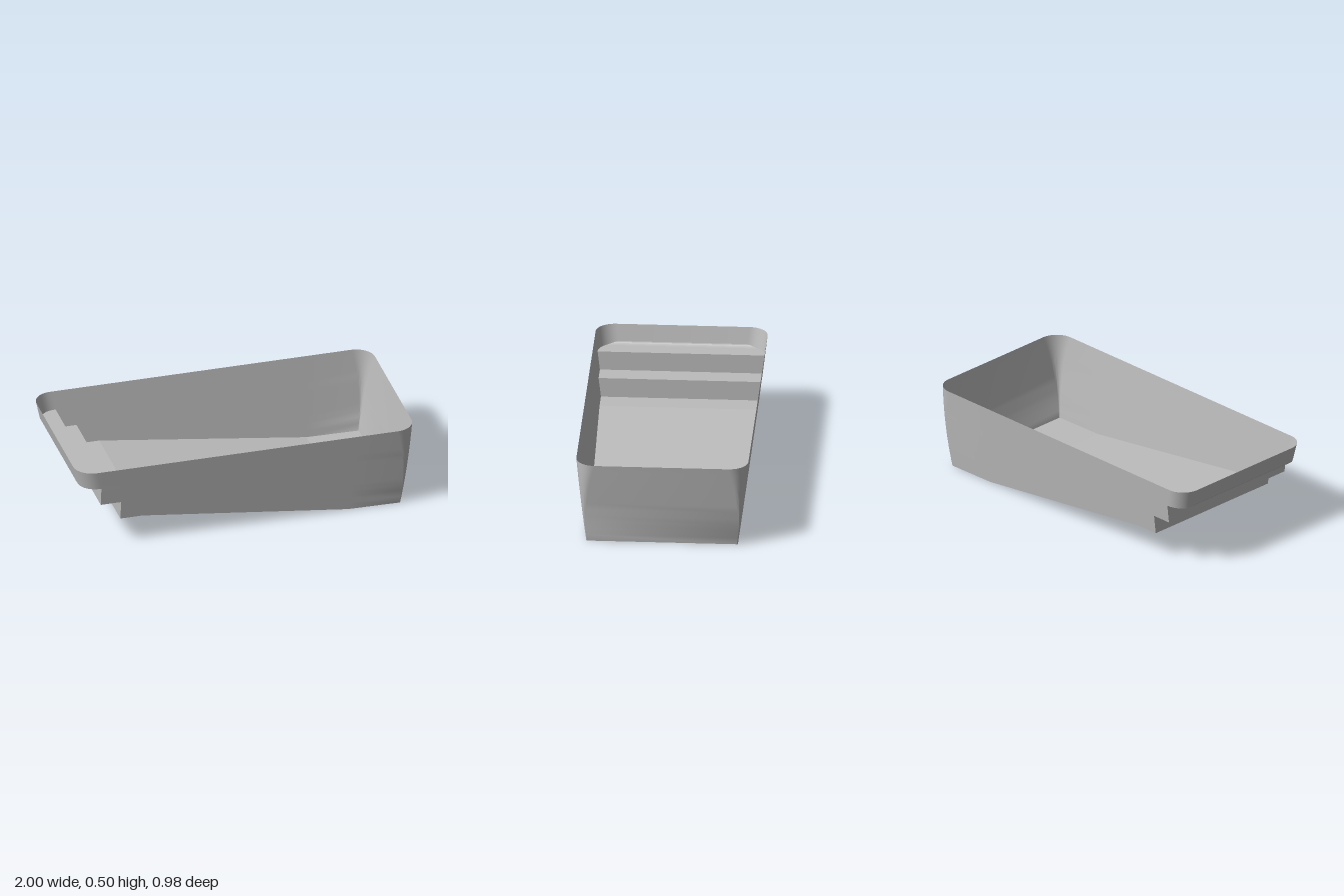
import * as THREE from 'three';
import { toCreasedNormals } from 'three/addons/utils/BufferGeometryUtils.js';

const TOP = 0.5;
const ROWS = 12;
const ARC = 10;

// Sloping sides and ends: distances from the centre at height y
const halfWidth = (y) => 0.432 + 0.116 * y;
const shallowEnd = (y) => -1 + (TOP - y) * 0.2;
const deepEnd = (y) => 0.92 + 0.16 * y;
const deepRadius = (y) => 0.006 + 0.104 * (y / TOP) ** 2;
const SHALLOW_RADIUS = 0.11;

// Softened outer edge of the top step
function topStepY(x) {
  const t = THREE.MathUtils.clamp((-0.955 - x) / 0.023, 0, 1);
  return 0.387 + 0.015 * (1 - Math.sqrt(1 - t * t));
}

// Wall columns on the +z side, from the shallow end to the deep end
function makeColumns() {
  const columns = [];
  const add = (bottom, at) => {
    const points = [];
    for (let j = 0; j <= ROWS; j++) {
      const y = TOP + (bottom - TOP) * (j / ROWS);
      const [x, z] = at(y);
      points.push([x, y, z]);
    }
    columns.push(points);
  };

  // Rounded shallow corner
  for (let i = 0; i <= ARC; i++) {
    const a = (i / ARC) * Math.PI / 2;
    const at = (y) => [
      shallowEnd(y) + SHALLOW_RADIUS * (1 - Math.cos(a)),
      halfWidth(y) - SHALLOW_RADIUS * (1 - Math.sin(a)),
    ];
    add(topStepY(at(0.39)[0]), at);
  }

  // Steps, landing, slope and deep floor
  const profile = [
    [-0.86, 0.387], [-0.86, 0.275], [-0.74, 0.275], [-0.74, 0.16],
    [-0.61, 0.16], [0.61, 0.004],
  ];
  for (const [x, y0] of profile) add(y0, (y) => [x, halfWidth(y)]);

  // Deep corner, tightening towards the floor
  for (let i = 0; i <= ARC; i++) {
    const a = (i / ARC) * Math.PI / 2;
    add(0, (y) => {
      const r = deepRadius(y);
      return [deepEnd(y) - r * (1 - Math.sin(a)), halfWidth(y) - r * (1 - Math.cos(a))];
    });
  }
  return columns;
}

const mirror = ([x, y, z]) => [x, y, -z];

function fromQuads(quads) {
  const positions = [];
  for (const [a, b, c, d] of quads) positions.push(...a, ...b, ...c, ...a, ...c, ...d);
  const geometry = new THREE.BufferGeometry();
  geometry.setAttribute('position', new THREE.Float32BufferAttribute(positions, 3));
  geometry.computeVertexNormals();
  return geometry;
}

export function createModel() {
  const group = new THREE.Group();
  group.name = 'poolShell';
  const shell = new THREE.MeshStandardMaterial({ color: 0xbcbcbc, side: THREE.DoubleSide });
  shell.name = 'grey shell';

  const columns = makeColumns();

  // Walls: closed ring of columns
  const ring = [...columns, ...columns.map((c) => c.map(mirror)).reverse()];
  const wallQuads = [];
  ring.forEach((a, i) => {
    const b = ring[(i + 1) % ring.length];
    const isRiser = a[0][0] === b[0][0] && a[0][2] === b[0][2];
    if (isRiser) return;
    for (let j = 0; j < ROWS; j++) wallQuads.push([a[j], a[j + 1], b[j + 1], b[j]]);
  });
  const walls = new THREE.Mesh(toCreasedNormals(fromQuads(wallQuads), 0.6), shell);
  walls.name = 'walls';

  // Floor and steps: strips across the width
  const floorQuads = [];
  for (let i = 0; i < columns.length - 1; i++) {
    const a = columns[i][ROWS];
    const b = columns[i + 1][ROWS];
    floorQuads.push([a, b, mirror(b), mirror(a)]);
  }
  const floor = new THREE.Mesh(fromQuads(floorQuads), shell);
  floor.name = 'floorAndSteps';

  group.add(walls, floor);
  return group;
}
